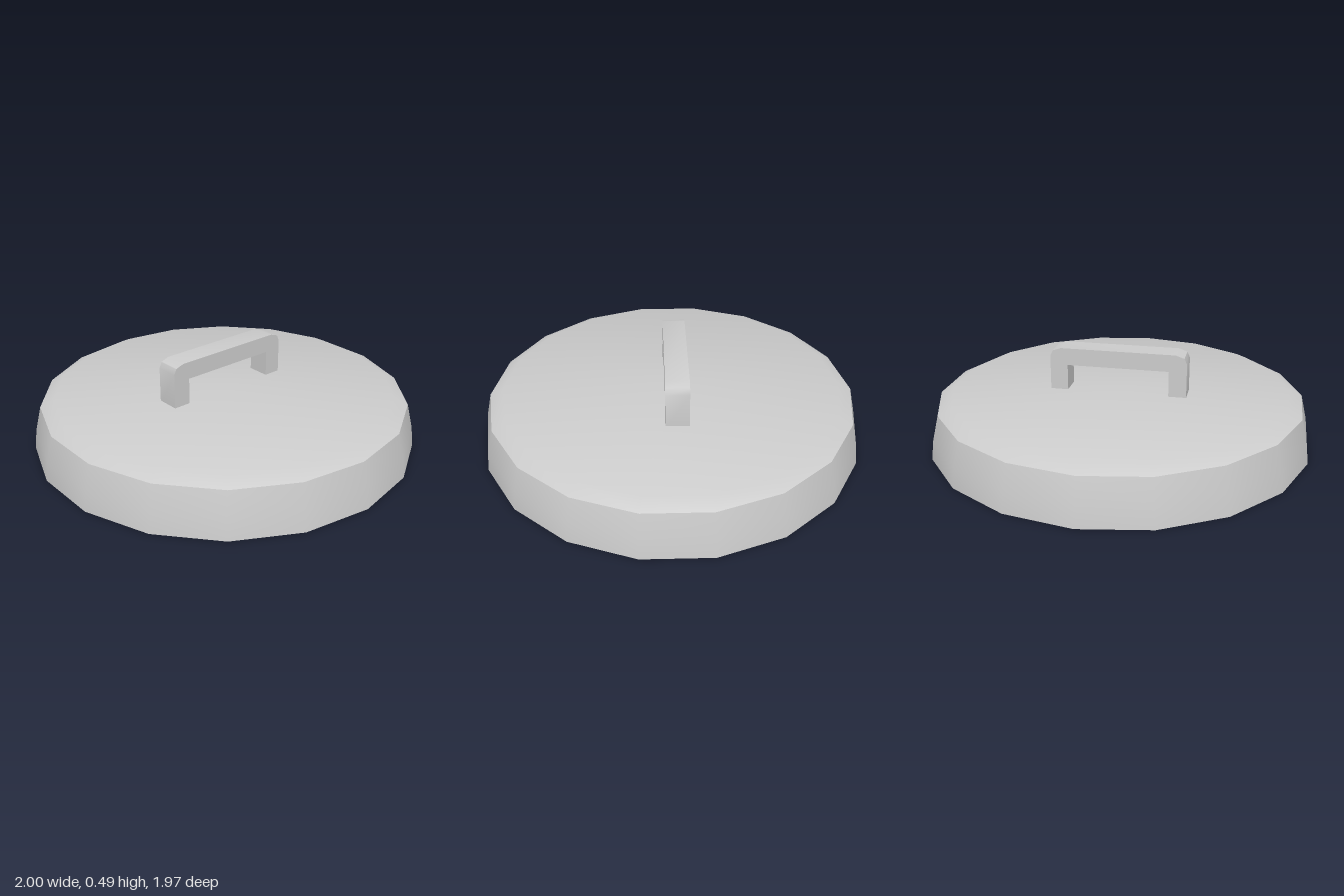
import * as THREE from 'three';
import { toCreasedNormals } from 'three/addons/utils/BufferGeometryUtils.js';

const CREASE = THREE.MathUtils.degToRad(40);
const points = (list) => list.map(([a, b]) => new THREE.Vector2(a, b));

export function createModel() {
  const group = new THREE.Group();
  group.name = 'potLid';
  const material = new THREE.MeshStandardMaterial({ color: 0xcccccc });

  function addPart(name, geometry) {
    const mesh = new THREE.Mesh(toCreasedNormals(geometry, CREASE), material);
    mesh.name = name;
    group.add(mesh);
  }

  // Hollow 18-sided lid: ceiling, inner wall, rim, outer wall, bevel, top
  const lidProfile = points([
    [0, 0.155], [0.895, 0.155], [0.91, 0.08], [0.92, 0],
    [1, 0], [0.987, 0.1], [0.955, 0.23], [0.885, 0.265], [0, 0.265],
  ]);
  addPart('lid', new THREE.LatheGeometry(lidProfile, 18, Math.PI / 2));

  // Bracket handle running front to back, with chamfered outer corners
  const outer = [[0.357, 0.25], [0.357, 0.445], [0.343, 0.475], [0.3, 0.49]];
  const inner = [[0.265, 0.4], [0.265, 0.25]];
  const half = [...outer].reverse();
  const mirror = ([z, y]) => [-z, y];
  const bracket = new THREE.Shape(points([
    ...outer, ...half.map(mirror),
    ...[...inner].reverse().map(mirror), ...inner,
  ]));
  const handle = new THREE.ExtrudeGeometry(bracket, { depth: 0.12, bevelEnabled: false });
  handle.rotateY(Math.PI / 2).translate(-0.08, 0, 0);
  addPart('handle', handle);

  return group;
}
